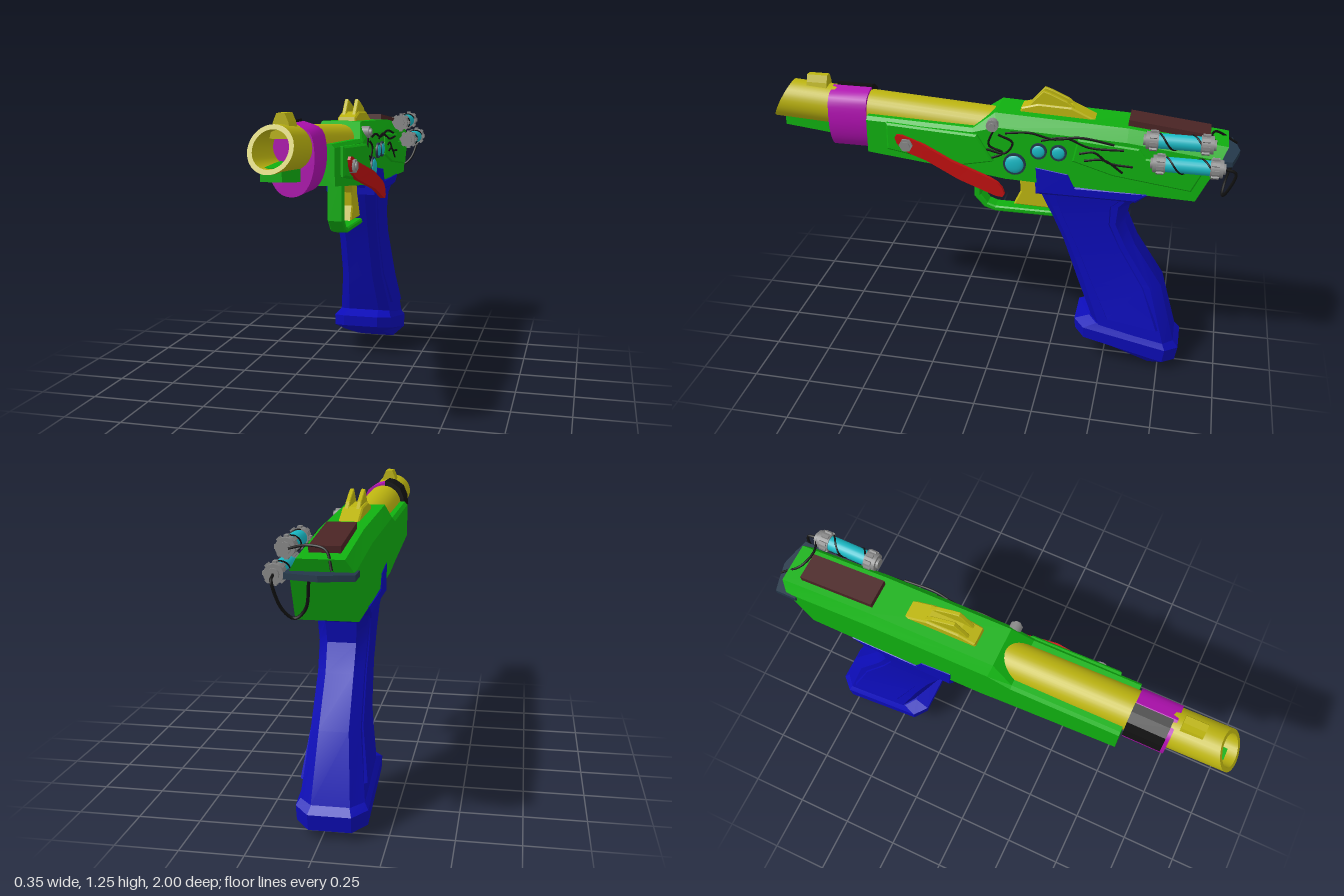
import * as THREE from 'three';
import { toCreasedNormals } from 'three/addons/utils/BufferGeometryUtils.js';

const CX = -0.033; // centre line of body, barrel and grip
const V = (x, y, z) => new THREE.Vector3(x, y, z);
const mat = (color) => new THREE.MeshStandardMaterial({ color });
const M = {
  green: mat(0x10b010), yellow: mat(0xbcb410), blue: mat(0x0c0cb8), red: mat(0xc01010),
  purple: mat(0xb010b0), black: mat(0x111111), brown: mat(0x4a2424), cyan: mat(0x18b8c4),
  slate: mat(0x24384a), grey: mat(0x888888),
};

// Closed skin through a list of equal-length rings, with capped ends
function loft(rings, crease = 0.5) {
  const tris = [];
  const n = rings[0].length;
  for (let i = 0; i + 1 < rings.length; i++) {
    for (let j = 0; j < n; j++) {
      const k = (j + 1) % n, a = rings[i], b = rings[i + 1];
      tris.push([a[j], a[k], b[k]], [a[j], b[k], b[j]]);
    }
  }
  const cap = (r, flip) => {
    const c = r.reduce((s, p) => s.add(p), V(0, 0, 0)).divideScalar(n);
    r.forEach((p, j) => tris.push(flip ? [c, r[(j + 1) % n], p] : [c, p, r[(j + 1) % n]]));
  };
  cap(rings[0], true);
  cap(rings[rings.length - 1], false);
  const volume = tris.reduce((s, [a, b, c]) => s + a.dot(b.clone().cross(c)), 0);
  if (volume < 0) tris.forEach((t) => t.reverse());
  const g = new THREE.BufferGeometry().setFromPoints(tris.flat());
  return toCreasedNormals(g, crease);
}

// Side-profile plate: [z, y] points extruded from x0 to x1
function plate(pts, x0, x1, bevel = 0) {
  const shape = new THREE.Shape(pts.map(([z, y]) => new THREE.Vector2(-z, y)));
  const g = new THREE.ExtrudeGeometry(shape, {
    depth: x1 - x0 - 2 * bevel, bevelEnabled: bevel > 0, bevelSize: bevel, bevelThickness: bevel,
    bevelOffset: -bevel, bevelSegments: 1,
  });
  return g.rotateY(Math.PI / 2).translate(x0 + bevel, 0, 0);
}

// Front-profile [x, y] points extruded along z
function slab(pts, z0, z1, smooth = false) {
  const v = pts.map(([x, y]) => new THREE.Vector2(x, y));
  const shape = new THREE.Shape();
  if (smooth) shape.setFromPoints(new THREE.SplineCurve([...v, v[0]]).getPoints(40));
  else shape.setFromPoints(v);
  const g = new THREE.ExtrudeGeometry(shape, { depth: z1 - z0, bevelEnabled: false }).translate(0, 0, z0);
  return smooth ? toCreasedNormals(g, 0.6) : g;
}

const tube = (pts, r, seg = 24) =>
  new THREE.TubeGeometry(new THREE.CatmullRomCurve3(pts.map((p) => V(...p))), seg, r, 6);
const disc = (r, x0, x1, y, z, sides = 24) =>
  new THREE.CylinderGeometry(r, r, x1 - x0, sides).rotateZ(Math.PI / 2).translate((x0 + x1) / 2, y, z);

export function createModel() {
  const root = new THREE.Group();
  const add = (name, geometry, material, parent = root) => {
    const m = new THREE.Mesh(geometry, material);
    m.name = name;
    parent.add(m);
    return m;
  };

  // Main body: sections of [z top, z bottom, y bottom, y shoulder, y top, half width, half top width]
  const section = ([zt, zb, yb, ys, yt, w, wt]) => {
    const zs = zb + (zt - zb) * (ys - yb) / (yt - yb);
    return [V(CX - w, yb, zb), V(CX + w, yb, zb), V(CX + w, ys, zs), V(CX + wt, yt, zt), V(CX - wt, yt, zt), V(CX - w, ys, zs)];
  };
  add('body', loft([
    [0.55, 0.55, 0.95, 1.095, 1.11, 0.118, 0.105],
    [0.09, 0.1, 0.9, 1.08, 1.095, 0.118, 0.105],
    [0.0, -0.05, 0.88, 1.11, 1.163, 0.118, 0.085],
    [-0.55, -0.55, 0.865, 1.09, 1.14, 0.118, 0.085],
    [-0.95, -0.84, 0.855, 1.045, 1.095, 0.115, 0.085],
  ].map(section), 0.15), M.green);
  add('underBarrel', plate([[0.95, 1.01], [0.95, 1.06], [0.5, 1.06], [0.5, 0.96]], -0.073, 0.005), M.green);
  add('frontSidePanel', plate([[0.46, 1.095], [0.07, 1.075], [0.0, 0.96], [0.16, 0.925], [0.46, 0.975]], 0.07, 0.102, 0.008), M.green);
  add('rearSidePanel', plate([[-0.35, 1.09], [-0.6, 1.07], [-0.63, 1.03], [-0.87, 1.01], [-0.82, 0.9], [-0.5, 0.94], [-0.33, 0.99]], 0.07, 0.094, 0.006), M.green);
  add('topInsert', new THREE.BoxGeometry(0.115, 0.03, 0.33).rotateX(-0.11).translate(CX, 1.132, -0.71), M.brown);
  add('rearPlate', new THREE.ExtrudeGeometry(
    new THREE.Shape([[-0.157, 0.88], [-0.157, 0.97], [-0.1, 0.985], [CX, 1.0], [0.035, 0.985], [0.092, 0.97], [0.092, 0.88]]
      .map((p) => new THREE.Vector2(...p))), { depth: 0.022, bevelEnabled: false })
    .rotateX(-Math.PI / 2).translate(0, 1.026, 0), M.slate);

  // Hollow barrel with a slanted muzzle
  const hoop = (r, y, z, slant = 0) => Array.from({ length: 32 }, (_, i) => {
    const a = i / 32 * Math.PI * 2, dy = Math.sin(a) * r;
    return V(CX + Math.cos(a) * r, y + dy, z - dy * slant);
  });
  add('barrel', loft([
    hoop(0.083, 1.066, -0.02), hoop(0.083, 1.123, 0.955, 0.54),
    hoop(0.066, 1.123, 0.955, 0.54), hoop(0.066, 1.11, 0.72),
  ]), M.yellow);
  add('boreEnd', new THREE.CircleGeometry(0.065, 24).translate(CX, 1.11, 0.724), M.green);
  add('frontSight', slab([[-0.075, 1.15], [0.01, 1.15], [-0.005, 1.21], [-0.018, 1.24], [-0.048, 1.24], [-0.061, 1.21]], 0.75, 0.84), M.yellow);

  // Rear sight: base and two upright fins
  const sight = new THREE.Group();
  sight.name = 'rearSight';
  root.add(sight);
  add('sightBase', plate([[-0.09, 1.14], [-0.1, 1.175], [-0.17, 1.195], [-0.31, 1.19], [-0.41, 1.145], [-0.41, 1.12]], -0.075, 0.008, 0.006), M.yellow, sight);
  for (const s of [-1, 1]) {
    const x = CX + s * 0.023;
    add('sightFin', plate([[-0.12, 1.17], [-0.19, 1.25], [-0.22, 1.24], [-0.29, 1.21], [-0.34, 1.17]], x - 0.009, x + 0.009, 0.003), M.yellow, sight);
  }

  // Strap around the barrel with a dark patch on its left shoulder
  add('strap', slab([[CX, 1.197], [0.04, 1.165], [0.058, 1.08], [0.047, 1.0], [0.015, 0.945], [CX, 0.928],
    [-0.08, 0.945], [-0.113, 1.0], [-0.127, 1.08], [-0.106, 1.165]], 0.56, 0.73, true), M.purple);
  add('strapPatch', slab([[-0.04, 1.206], [-0.075, 1.198], [-0.112, 1.172], [-0.13, 1.13], [-0.136, 1.08], [-0.1, 1.08], [-0.04, 1.17]], 0.558, 0.715), M.black);

  // Grip and foot: rows of [z front, y front, z back, y back, half width]
  const outline = [[0, -0.6], [0.1, -1], [0.88, -1], [1, -0.6], [1, 0.6], [0.88, 1], [0.1, 1], [0, 0.6]];
  const gripRing = ([zf, yf, zb, yb, w], inset = 0, grow = 0) => outline.map(([t, s]) => {
    const u = inset + t * (1 - 2 * inset);
    return V(CX + s * (w + grow), yf + (yb - yf) * u, zf + (zb - zf) * u);
  });
  const rows = [
    [-0.16, 0.9, -0.67, 0.875, 0.112], [-0.2, 0.79, -0.575, 0.785, 0.1], [-0.25, 0.69, -0.56, 0.7, 0.094],
    [-0.3, 0.58, -0.61, 0.59, 0.091], [-0.365, 0.4, -0.735, 0.4, 0.096], [-0.445, 0.2, -0.81, 0.13, 0.125],
  ];
  add('grip', loft(rows.map((r) => gripRing(r))), M.blue);
  const inner = rows.map((r) => [...r]);
  inner[0][1] = 0.865; inner[0][3] = 0.845; inner[5][1] = 0.25; inner[5][3] = 0.19;
  add('gripPanels', loft(inner.map((r) => gripRing(r, 0.12, 0.005))), M.blue);
  add('gripCollar', plate([[-0.17, 0.955], [-0.32, 0.935], [-0.35, 0.875], [-0.66, 0.87], [-0.6, 0.82], [-0.18, 0.82]], CX - 0.121, CX + 0.121, 0.012), M.blue);
  add('gripFoot', loft([
    [-0.43, 0.215, -0.81, 0.13, 0.122], [-0.365, 0.195, -0.835, 0.1, 0.14],
    [-0.37, 0.145, -0.825, 0.035, 0.138], [-0.42, 0.115, -0.745, 0.0, 0.095],
  ].map((r) => gripRing(r)), 0.3), M.blue);

  // Trigger and guard
  add('triggerGuard', plate([[0.105, 0.93], [0.105, 0.74], [0.06, 0.69], [0.01, 0.675], [-0.3, 0.675], [-0.3, 0.7],
    [0.01, 0.7], [0.045, 0.712], [0.075, 0.75], [0.075, 0.93]], -0.068, 0.002, 0.006), M.green);
  add('trigger', plate([[-0.06, 0.9], [-0.095, 0.84], [-0.1, 0.78], [-0.07, 0.715], [-0.25, 0.71], [-0.25, 0.9]], -0.06, -0.006, 0.006), M.yellow);

  // Side lever: stations of [z, y, x, half height]
  add('lever', loft([
    [0.415, 1.025, 0.105, 0.015], [0.4, 1.02, 0.105, 0.034], [0.37, 1.01, 0.105, 0.042], [0.3, 0.985, 0.105, 0.042],
    [0.15, 0.93, 0.143, 0.042], [-0.01, 0.87, 0.145, 0.042], [-0.04, 0.86, 0.145, 0.034], [-0.055, 0.855, 0.145, 0.015],
  ].map(([z, y, x, h]) => [[-1, -1], [1, -1], [1, 1], [-1, 1]]
    .map(([a, b]) => V(x + a * 0.009, y + b * h * 0.94, z + b * h * 0.34)))), M.red);
  add('leverBolt', disc(0.03, 0.1, 0.124, 1.01, 0.37, 6), M.grey);
  add('leverBoltCap', disc(0.018, 0.12, 0.13, 1.01, 0.37), M.grey);

  // Round lights and the small knob
  for (const [z, y, r] of [[-0.09, 0.955, 0.04], [-0.19, 1.022, 0.027], [-0.273, 1.022, 0.027]]) {
    add('lightRim', disc(r + 0.008, 0.07, 0.094, y, z), M.slate);
    add('light', new THREE.SphereGeometry(r, 20, 10).scale(0.3, 1, 1).translate(0.093, y, z), M.cyan);
  }
  add('knob', disc(0.026, 0.04, 0.095, 1.118, 0.005, 12), M.grey);
  add('knobCap', disc(0.015, 0.09, 0.105, 1.118, 0.005, 12), M.grey);

  // Two glowing canisters with lugged end caps
  for (const [x, y, z0, z1] of [[0.103, 1.12, -0.9, -0.615], [0.135, 1.035, -0.945, -0.65]]) {
    const c = new THREE.Group();
    c.name = 'canister';
    c.position.set(x, y, (z0 + z1) / 2);
    root.add(c);
    const half = (z1 - z0) / 2;
    const rod = (r, len, z, sides = 20) => new THREE.CylinderGeometry(r, r, len, sides).rotateX(Math.PI / 2).translate(0, 0, z);
    add('glass', rod(0.031, half * 2 - 0.06, 0), M.cyan, c);
    for (const s of [-1, 1]) {
      add('endCap', rod(0.036, 0.05, s * (half - 0.035)), M.grey, c);
      add('endHub', rod(0.022, 0.02, s * (half - 0.01), 12), M.grey, c);
      for (let i = 0; i < 8; i++) {
        add('lug', new THREE.BoxGeometry(0.014, 0.014, 0.03).translate(0.036, 0, s * (half - 0.04)).rotateZ(i * Math.PI / 4), M.grey, c);
      }
    }
    const spiral = Array.from({ length: 13 }, (_, i) => [Math.cos(i * 0.7) * 0.032, Math.sin(i * 0.7) * 0.032, (i / 6 - 1) * (half - 0.05)]);
    add('canisterWire', tube(spiral, 0.004, 36), M.black, c);
  }

  // Hanging cable and thin wires along the right side
  add('rearCable', tube([[0.135, 1.035, -0.94], [0.13, 1.02, -0.985], [0.1, 0.92, -0.96], [0.06, 0.885, -0.945],
    [0.02, 0.92, -0.95], [0.0, 1.03, -0.98]], 0.006, 32), M.black);
  add('topCable', tube([[0.09, 1.12, -0.9], [0.03, 1.13, -0.88], [-0.04, 1.12, -0.9], [-0.08, 1.06, -0.985]], 0.005), M.black);
  const wires = [
    [[0.0, 1.1], [0.02, 1.03], [-0.04, 1.0], [0.04, 0.96]],
    [[-0.02, 1.08], [-0.08, 1.05], [-0.05, 1.0], [0.03, 1.01]],
    [[-0.05, 1.09], [-0.15, 1.1], [-0.25, 1.08], [-0.36, 1.1], [-0.5, 1.08]],
    [[-0.2, 1.07], [-0.3, 1.09], [-0.4, 1.06], [-0.54, 1.06]],
    [[-0.36, 1.03], [-0.42, 1.04], [-0.48, 1.0], [-0.58, 0.99]],
    [[-0.38, 1.0], [-0.46, 1.01], [-0.54, 0.96]],
  ];
  wires.forEach((w) => add('sideWire', tube(w.map(([z, y]) => [z < -0.33 ? 0.095 : 0.087, y, z]), 0.005), M.black));
  return root;
}
